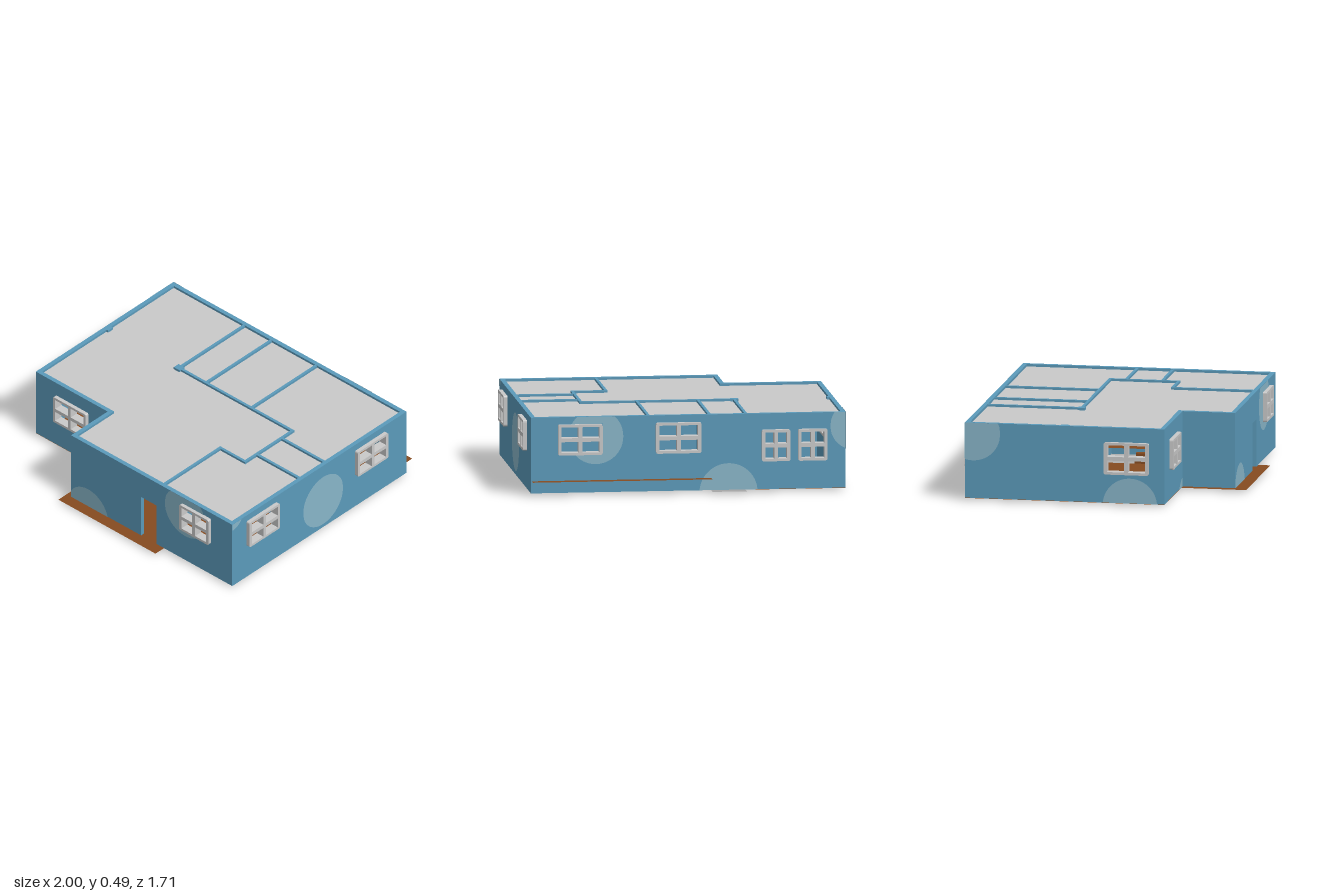
import * as THREE from 'three';

const mat = (name, color, side = THREE.FrontSide) => {
  const m = new THREE.MeshStandardMaterial({ color, side });
  m.name = name;
  return m;
};
const Y0 = 0.015, Y1 = 0.485, T = 0.028;

export function createModel() {
  const blue = mat('wallBlue', 0x5b9aba);
  const pale = mat('paleBlue', 0x88b5c8, THREE.DoubleSide);
  const grey = mat('lightGrey', 0xc9c9c9, THREE.DoubleSide);
  const tile = mat('tileGrey', 0xa6a6a6, THREE.DoubleSide);
  const brown = mat('woodBrown', 0x864b20, THREE.DoubleSide);

  const house = new THREE.Group();
  house.name = 'house';
  const add = (name, geo, material, parent = house) => {
    const mesh = new THREE.Mesh(geo, material);
    mesh.name = name;
    parent.add(mesh);
    return mesh;
  };
  const poly = (pts) => new THREE.Shape(pts.map(([x, y]) => new THREE.Vector2(x, y)));
  const rect = (a, b, c, d) => poly([[a, c], [b, c], [b, d], [a, d]]);
  const box = (name, x0, x1, y0, y1, z0, z1, m) => {
    const g = new THREE.BoxGeometry(x1 - x0, y1 - y0, z1 - z0);
    add(name, g.translate((x0 + x1) / 2, (y0 + y1) / 2, (z0 + z1) / 2), m);
  };
  // Horizontal sheet drawn in x and z
  const sheet = (name, pts, y, m) => {
    const g = new THREE.ShapeGeometry(poly(pts.map(([x, z]) => [x, -z])));
    add(name, g.rotateX(-Math.PI / 2).translate(0, y, 0), m);
  };

  // Window frame with rounded corners and four panes
  const frameGeometry = ([a, b, c, d]) => {
    const r = 0.012, s = new THREE.Shape();
    s.moveTo(a + r, c).lineTo(b - r, c).quadraticCurveTo(b, c, b, c + r);
    s.lineTo(b, d - r).quadraticCurveTo(b, d, b - r, d);
    s.lineTo(a + r, d).quadraticCurveTo(a, d, a, d - r);
    s.lineTo(a, c + r).quadraticCurveTo(a, c, a + r, c);
    const e = 0.02, h = 0.012, mu = (a + b) / 2, mv = (c + d) / 2;
    for (const [u0, u1] of [[a + e, mu - h], [mu + h, b - e]])
      for (const [v0, v1] of [[c + 0.016, mv - h], [mv + h, d - 0.016]])
        s.holes.push(rect(u0, u1, v0, v1));
    return new THREE.ExtrudeGeometry(s, { depth: 0.055, bevelEnabled: false, curveSegments: 3 });
  };

  // Round paint patch, clipped to its wall and cut out around windows
  const patchGeometry = ([cu, cv, r], from, to, windows) => {
    const pos = [], n = 64;
    const quad = (u0, u1, v0, v1, w0, w1) => pos.push(
      u0, v0, 0, u1, w0, 0, u1, w1, 0, u0, v0, 0, u1, w1, 0, u0, v1, 0);
    const cl = (v) => Math.min(Y1, Math.max(Y0, v));
    const half = (u) => Math.sqrt(Math.max(0, r * r - (u - cu) ** 2));
    for (let i = 0; i < n; i++) {
      const u0 = Math.max(from, cu - r + (2 * r * i) / n);
      const u1 = Math.min(to, cu - r + (2 * r * (i + 1)) / n);
      if (u1 <= u0) continue;
      const lo = [cl(cv - half(u0)), cl(cv - half(u1))], hi = [cl(cv + half(u0)), cl(cv + half(u1))];
      const m = (u0 + u1) / 2, win = windows.find((w) => m > w[0] && m < w[1]);
      if (!win) { quad(u0, u1, lo[0], hi[0], lo[1], hi[1]); continue; }
      const b = lo.map((v) => Math.min(v, win[2])), t = hi.map((v) => Math.max(v, win[3]));
      const b1 = hi.map((v) => Math.min(v, win[2])), t0 = lo.map((v) => Math.max(v, win[3]));
      quad(u0, u1, b[0], b1[0], b[1], b1[1]);
      quad(u0, u1, t0[0], t[0], t0[1], t[1]);
    }
    const g = new THREE.BufferGeometry();
    g.setAttribute('position', new THREE.Float32BufferAttribute(pos, 3));
    g.computeVertexNormals();
    return g;
  };

  // Outer wall along x or z, with windows [from, to, bottom, top] and patches [u, y, radius]
  const outerWall = ({ name, axis, at, out, from, to, windows = [], patches = [], door }) => {
    const group = new THREE.Group();
    group.name = name;
    if (axis === 'z') group.rotation.y = -Math.PI / 2;
    const w = axis === 'z' ? -at : at, s = axis === 'z' ? -out : out;
    const pts = [[from, Y0]];
    if (door) pts.push([door[0], Y0], [door[0], door[2]], [door[1], door[2]], [door[1], Y0]);
    pts.push([to, Y0], [to, Y1], [from, Y1]);
    const shape = poly(pts), k = 0.01;
    for (const [a, b, c, d] of windows) shape.holes.push(rect(a + k, b - k, c + k, d - k));
    const g = new THREE.ExtrudeGeometry(shape, { depth: T, bevelEnabled: false });
    add('wallPanel', g.translate(0, 0, s > 0 ? w - T : w), blue, group);
    for (const win of windows)
      add('windowFrame', frameGeometry(win).translate(0, 0, s > 0 ? w - 0.03 : w - 0.025), grey, group);
    for (const p of patches)
      add('paintPatch', patchGeometry(p, from, to, windows).translate(0, 0, w + s * 0.002), pale, group);
    house.add(group);
  };

  outerWall({ name: 'frontWall', axis: 'x', at: 0.775, out: 1, from: -0.375, to: 0.972,
    windows: [[0.55, 0.795, 0.25, 0.44]], door: [0.21, 0.34, 0.31],
    patches: [[0.58, 0.37, 0.17], [-0.23, -0.02, 0.165]] });
  outerWall({ name: 'recessedFrontWall', axis: 'x', at: 0.445, out: 1, from: -0.975, to: -0.347,
    windows: [[-0.81, -0.535, 0.2, 0.39]], patches: [[-0.37, -0.08, 0.15]] });
  outerWall({ name: 'recessSideWall', axis: 'z', at: -0.375, out: -1, from: 0.42, to: 0.775 });
  outerWall({ name: 'rightWall', axis: 'z', at: 0.972, out: 1, from: -0.8, to: 0.775,
    windows: [[0.37, 0.645, 0.25, 0.44], [-0.61, -0.335, 0.25, 0.44]],
    patches: [[-0.045, 0.22, 0.18], [0.775, 0.54, 0.1]] });
  outerWall({ name: 'leftWall', axis: 'z', at: -0.975, out: -1, from: -0.8, to: 0.445,
    windows: [[0.07, 0.35, 0.195, 0.395]], patches: [[0.23, 0, 0.17], [-0.75, 0.42, 0.17]] });
  outerWall({ name: 'backWall', axis: 'x', at: -0.8, out: -1, from: -0.975, to: 0.972,
    windows: [[-0.86, -0.68, 0.19, 0.385], [-0.63, -0.455, 0.19, 0.385],
      [-0.08, 0.2, 0.25, 0.44], [0.53, 0.805, 0.25, 0.44]],
    patches: [[0.57, 0.36, 0.17], [-0.25, 0, 0.18], [-1.03, 0.4, 0.15]] });

  // Inner walls as [x0, z0, x1, z1] centre lines
  const h = 0.009;
  for (const [x0, z0, x1, z1] of [
    [-0.36, -0.79, -0.36, -0.185], [-0.135, -0.79, -0.135, -0.185], [0.243, -0.79, 0.243, -0.185],
    [-0.36, -0.185, 0.588, -0.185], [0.588, -0.185, 0.588, 0.243], [0.588, -0.085, 0.96, -0.085],
    [0.588, 0.14, 0.96, 0.14], [0.38, 0.243, 0.588, 0.243], [0.38, 0.243, 0.38, 0.765],
  ]) box('innerWall', x0 - h, x1 + h, Y0, Y1 - 0.001, z0 - h, z1 + h, blue);
  box('innerPillar', -0.385, -0.337, Y0, Y1, -0.207, -0.163, blue);
  box('wallPillar', -0.955, -0.933, Y0, Y1, -0.207, -0.163, blue);
  add('innerPaintPatch', patchGeometry([0.24, 0, 0.15], 0, 0.5, []).translate(0, 0, -0.174), pale);

  // Ceiling, just below the wall tops
  sheet('ceiling', [[-0.96, -0.785], [0.96, -0.785], [0.96, 0.76], [-0.36, 0.76],
    [-0.36, 0.43], [-0.96, 0.43]], 0.47, grey);

  // Lower floor, raised floor and tiled floor
  sheet('lowerFloor', [[-0.975, -0.8], [-0.355, -0.8], [-0.355, -0.18], [0.305, -0.18], [0.305, 0.3],
    [0.4, 0.3], [0.4, 0.85], [-0.412, 0.85], [-0.412, 0.445], [-0.975, 0.445]], 0.013, brown);
  sheet('raisedFloor', [[-0.145, -0.857], [0.967, -0.857], [0.967, 0.77], [0.385, 0.77],
    [0.385, -0.18], [-0.145, -0.18]], 0.09, brown);
  sheet('tiledFloor', [[-0.357, -0.857], [-0.145, -0.857], [-0.145, -0.18], [-0.357, -0.18]], 0.012, tile);

  // Steps between the two floors
  box('lowerStep', 0.305, 0.385, 0, 0.01, 0.02, 0.3, brown);
  box('middleStep', 0.305, 0.345, 0.01, 0.04, 0.02, 0.3, brown);
  box('upperStep', 0.345, 0.385, 0.04, 0.07, 0.02, 0.3, brown);

  return house;
}
